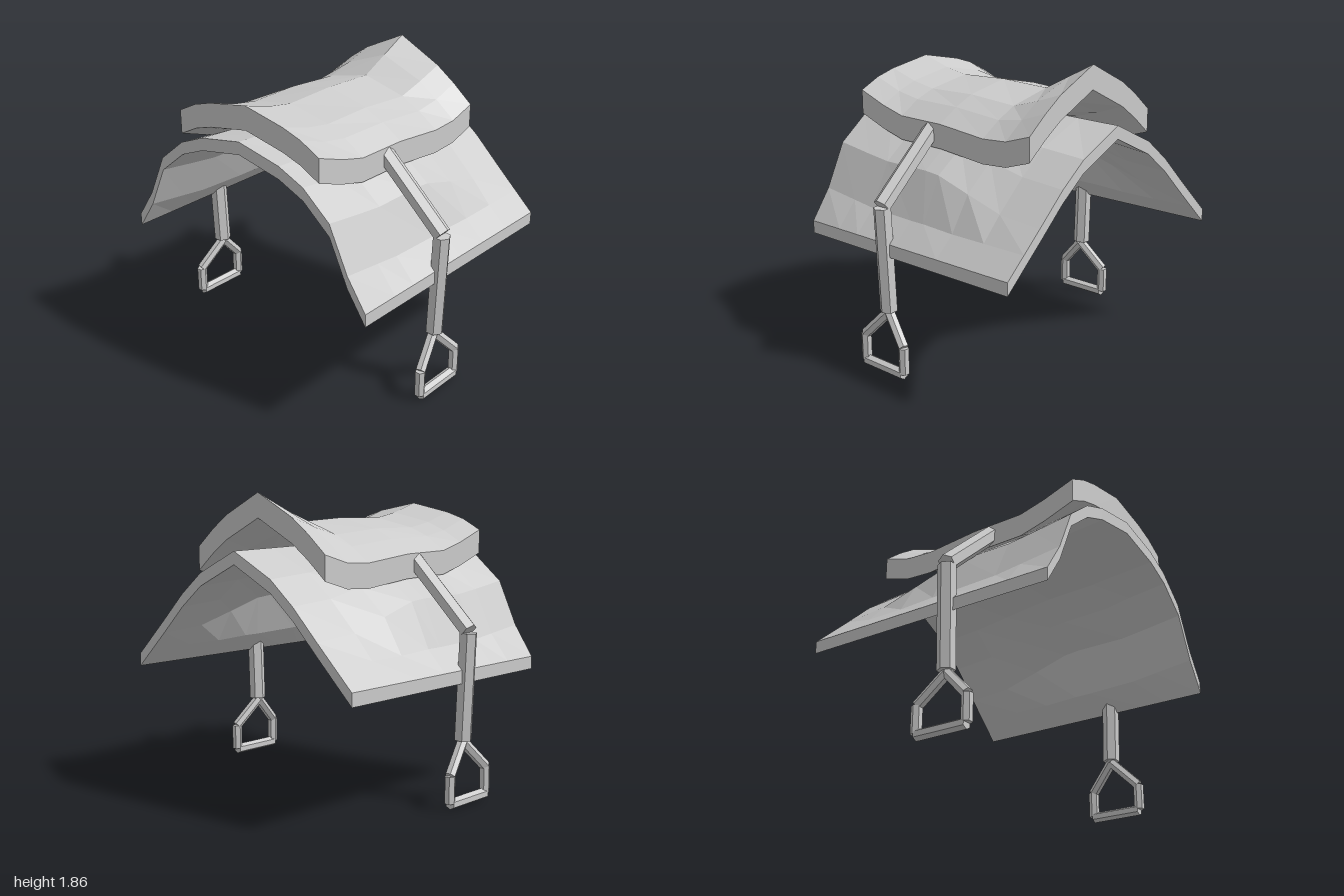
import * as THREE from 'three';

const grey = new THREE.MeshStandardMaterial({ color: 0xcccccc, flatShading: true });
grey.name = 'light grey';

// Curved sheet, mirrored in x: rows[i][j] is the top height at zs[i], xs[j]
function sheet(name, xs, zs, rows, thickness) {
  const n = xs.length - 1, m = zs.length - 1;
  const box = new THREE.BoxGeometry(2 * n, 1, m, 2 * n, 1, m);
  const p = box.attributes.position;
  for (let k = 0; k < p.count; k++) {
    const col = Math.round(p.getX(k));
    const j = Math.abs(col);
    const i = Math.round(p.getZ(k) + m / 2);
    const y = rows[i][j] - (p.getY(k) < 0 ? thickness : 0);
    p.setXYZ(k, Math.sign(col) * xs[j], y, zs[i]);
  }
  const geometry = box.toNonIndexed();
  geometry.computeVertexNormals();
  const mesh = new THREE.Mesh(geometry, grey);
  mesh.name = name;
  return mesh;
}

// Six-sided bar from a to b with one corner pointing towards ridge
function bar(name, a, b, radius, ridge) {
  const start = new THREE.Vector3(...a), end = new THREE.Vector3(...b);
  const dir = end.clone().sub(start);
  const length = dir.length();
  dir.normalize();
  const side = new THREE.Vector3().crossVectors(dir, new THREE.Vector3(...ridge)).normalize();
  const out = new THREE.Vector3().crossVectors(side, dir);
  const geometry = new THREE.CylinderGeometry(radius, radius, length, 6);
  geometry.applyMatrix4(new THREE.Matrix4().makeBasis(side, dir, out));
  const mid = start.add(end).multiplyScalar(0.5);
  geometry.translate(mid.x, mid.y, mid.z);
  const mesh = new THREE.Mesh(geometry, grey);
  mesh.name = name;
  return mesh;
}

// Strap, hanging leather and stirrup on one side (s = 1 left, -1 right)
function stirrupSide(s) {
  const g = new THREE.Group();
  g.name = s > 0 ? 'leftStirrup' : 'rightStirrup';
  const X = [1, 0, 0], Y = [0, 1, 0];
  g.add(bar('upperStrap', [s * 0.518, 1.45, 0.165], [s * 0.948, 1.05, 0.155], 0.055, X));
  g.add(bar('hangingStrap', [s * 0.945, 1.04, 0.155], [s * 0.92, 0.39, 0.153], 0.055, X));
  for (const z of [0.328, -0.012]) {
    g.add(bar('stirrupShoulder', [s * 0.915, 0.38, 0.155], [s * 0.957, 0.205, z], 0.033, X));
    g.add(bar('stirrupPost', [s * 0.957, 0.205, z], [s * 0.957, 0.04, z], 0.033, X));
  }
  g.add(bar('stirrupTread', [s * 0.957, 0.034, 0.328], [s * 0.957, 0.034, -0.01], 0.034, Y));
  return g;
}

export function createModel() {
  const model = new THREE.Group();
  model.name = 'saddle';

  // Blanket: rounded arch in front, flattening to an A-shape behind
  model.add(sheet('blanket',
    [0, 0.31, 0.49, 0.68, 0.81, 0.94],
    [-0.84, -0.54, -0.29, -0.05, 0.06, 0.4, 0.57, 0.83],
    [
      [1.525, 1.38, 1.24, 1.06, 0.94, 0.82],
      [1.53, 1.4, 1.26, 1.08, 0.94, 0.82],
      [1.535, 1.43, 1.31, 1.15, 0.94, 0.82],
      [1.54, 1.46, 1.36, 1.22, 0.95, 0.82],
      [1.54, 1.47, 1.37, 1.23, 0.95, 0.82],
      [1.55, 1.48, 1.38, 1.23, 0.96, 0.82],
      [1.56, 1.495, 1.41, 1.25, 0.98, 0.82],
      [1.575, 1.515, 1.44, 1.285, 1.01, 0.82],
    ], 0.08));

  // Seat: dipped in the middle, rising to a peaked back
  model.add(sheet('seat',
    [0, 0.29, 0.42, 0.555],
    [-0.65, -0.47, -0.29, 0.06, 0.4, 0.57, 0.77],
    [
      [1.86, 1.72, 1.63, 1.52],
      [1.77, 1.66, 1.57, 1.465],
      [1.68, 1.61, 1.545, 1.455],
      [1.695, 1.635, 1.575, 1.49],
      [1.685, 1.63, 1.58, 1.495],
      [1.715, 1.66, 1.61, 1.54],
      [1.775, 1.72, 1.68, 1.612],
    ], 0.15));

  for (const s of [1, -1]) model.add(stirrupSide(s));
  return model;
}
